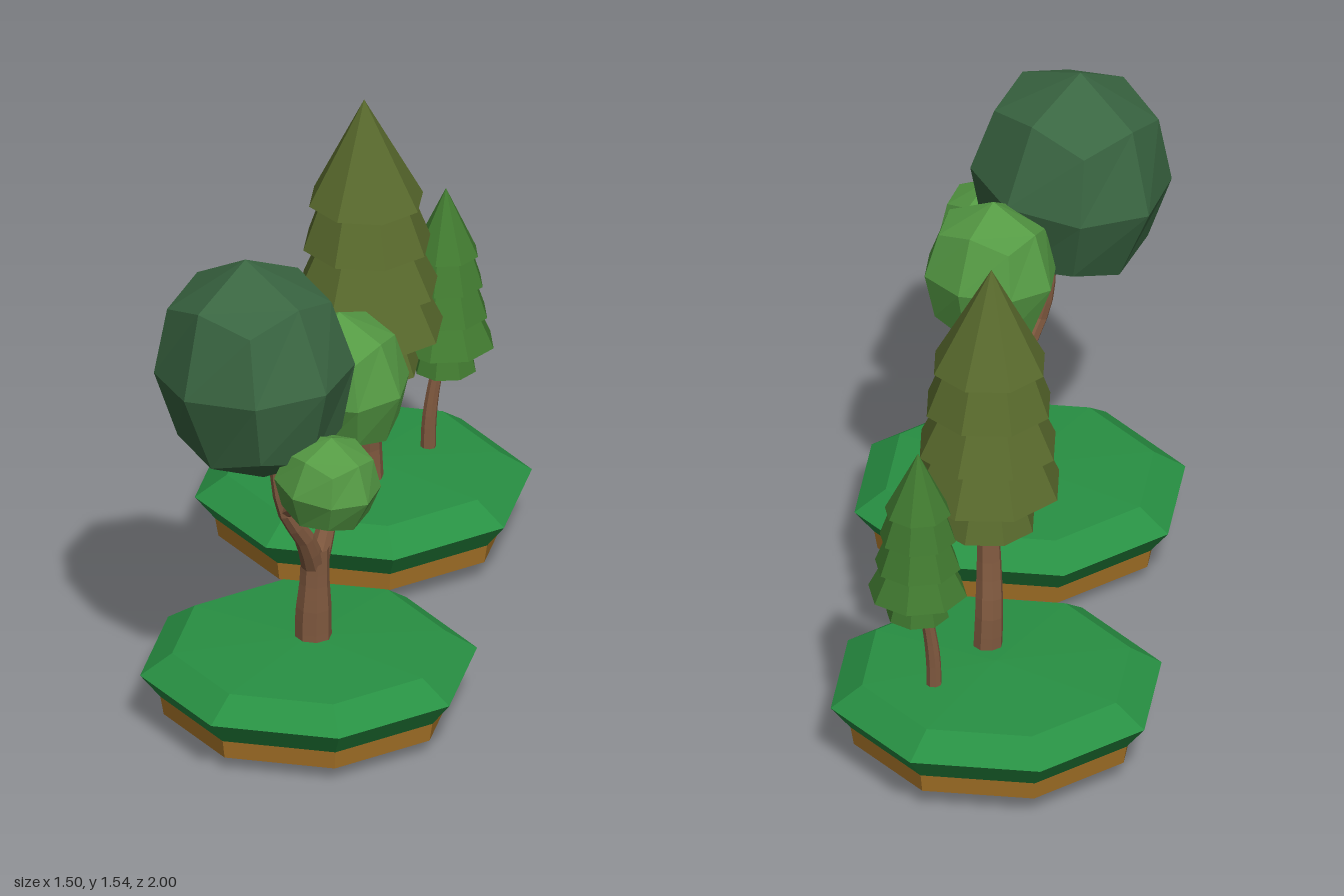
import * as THREE from 'three';
import { mergeVertices } from 'three/addons/utils/BufferGeometryUtils.js';

const paint = (color) => new THREE.MeshStandardMaterial({ color, flatShading: true });
const grassMat = paint(0x289043);
const soilMat = paint(0xa87428);
const barkMat = paint(0x80593f);
const darkLeaf = paint(0x3a6642);
const lightLeaf = paint(0x559a44);
const pineLeaf = paint(0x596a2d);
const youngPineLeaf = paint(0x417a30);

function mesh(name, geometry, material) {
  const m = new THREE.Mesh(geometry, material);
  m.name = name;
  return m;
}

function lathe(profile, sides = 8) {
  return new THREE.LatheGeometry(profile.map(([r, y]) => new THREE.Vector2(r, y)), sides);
}

// Eight-sided floating island: soil below, bevelled grass on top
function island(name, x, y, z) {
  const g = new THREE.Group();
  g.name = name;
  g.add(mesh('soil', lathe([[0, 0], [0.33, 0.016], [0.43, 0.042], [0.44, 0.1]]), soilMat));
  g.add(mesh('grass', lathe([[0.44, 0.1], [0.5, 0.175], [0.405, 0.24], [0, 0.26]]), grassMat));
  g.position.set(x, y, z);
  return g;
}

// Tube along a curve whose thickness follows a list of radii
function limb(name, points, radii, sides = 8, steps = 8) {
  const curve = new THREE.CatmullRomCurve3(points.map((p) => new THREE.Vector3(...p)));
  const geo = new THREE.TubeGeometry(curve, steps, 1, sides);
  const pos = geo.attributes.position;
  const v = new THREE.Vector3();
  for (let i = 0; i < pos.count; i++) {
    const t = Math.floor(i / (sides + 1)) / steps;
    const k = t * (radii.length - 1);
    const a = Math.min(Math.floor(k), radii.length - 2);
    const r = THREE.MathUtils.lerp(radii[a], radii[a + 1], k - a);
    const c = curve.getPointAt(t);
    v.fromBufferAttribute(pos, i).sub(c).multiplyScalar(r).add(c);
    pos.setXYZ(i, v.x, v.y, v.z);
  }
  return mesh(name, geo, barkMat);
}

// Rounded crown: a cube of 2 x 2 quads per face pushed out to a ball
function crown(name, material, centre, size, turn = [0, 0, 0]) {
  let geo = new THREE.BoxGeometry(1, 1, 1, 2, 2, 2);
  geo.deleteAttribute('uv');
  geo.deleteAttribute('normal');
  geo = mergeVertices(geo);
  const pos = geo.attributes.position;
  const v = new THREE.Vector3();
  for (let i = 0; i < pos.count; i++) {
    v.fromBufferAttribute(pos, i).normalize();
    pos.setXYZ(i, v.x, v.y, v.z);
  }
  geo.computeVertexNormals();
  const m = mesh(name, geo, material);
  m.position.set(...centre);
  m.scale.set(...size);
  m.rotation.set(...turn);
  return m;
}

// Tiered conifer foliage; tiers are [bottom y, rim radius, top radius], lowest first
function conifer(name, material, tiers, tip, base, turn) {
  const y0 = tiers[0][0];
  const profile = [[0, y0 + 0.02]];
  tiers.forEach(([y, rim, top], i) => {
    profile.push([rim, y]);
    profile.push([top, i + 1 < tiers.length ? tiers[i + 1][0] + 0.008 : tip[1]]);
  });
  const geo = lathe(profile);
  geo.rotateY(turn);
  // lean the stack from its base towards the tip
  const pos = geo.attributes.position;
  for (let i = 0; i < pos.count; i++) {
    const t = (pos.getY(i) - y0) / (tip[1] - y0);
    pos.setX(i, pos.getX(i) + THREE.MathUtils.lerp(base[0], tip[0], t));
    pos.setZ(i, pos.getZ(i) + THREE.MathUtils.lerp(base[1], tip[2], t));
  }
  return mesh(name, geo, material);
}

function broadleafTree() {
  const g = new THREE.Group();
  g.name = 'broadleafTree';
  g.add(limb('trunk',
    [[0.255, 0.24, 0.483], [0.255, 0.32, 0.483], [0.26, 0.42, 0.485], [0.263, 0.55, 0.485]],
    [0.055, 0.054, 0.044, 0.042]));
  g.add(limb('frontBranch',
    [[0.262, 0.5, 0.495], [0.27, 0.6, 0.545], [0.25, 0.71, 0.612], [0.23, 0.8, 0.622], [0.225, 0.95, 0.63]],
    [0.036, 0.03, 0.026, 0.023, 0.02]));
  g.add(limb('backBranch',
    [[0.26, 0.5, 0.47], [0.26, 0.6, 0.42], [0.255, 0.7, 0.4], [0.245, 0.77, 0.37], [0.24, 0.9, 0.33]],
    [0.036, 0.028, 0.024, 0.022, 0.02]));
  g.add(limb('sideBranch',
    [[0.25, 0.72, 0.61], [0.3, 0.755, 0.63], [0.36, 0.775, 0.655], [0.43, 0.85, 0.69]],
    [0.026, 0.022, 0.019, 0.016]));
  g.add(crown('largeCrown', darkLeaf, [0.177, 1.19, 0.672], [0.305, 0.352, 0.285], [0.03, -0.2, 0.085]));
  g.add(crown('backCrown', lightLeaf, [0.243, 1.02, 0.315], [0.205, 0.232, 0.187], [0.08, 0, 0]));
  g.add(crown('sideCrown', lightLeaf, [0.455, 0.908, 0.698], [0.163, 0.153, 0.15], [0, -0.15, -0.1]));
  return g;
}

function pines() {
  const g = new THREE.Group();
  g.name = 'pines';
  g.add(limb('tallPineTrunk',
    [[-0.178, 0.25, -0.425], [-0.18, 0.38, -0.42], [-0.168, 0.52, -0.4], [-0.155, 0.72, -0.385]],
    [0.044, 0.042, 0.036, 0.031]));
  g.add(conifer('tallPineFoliage', pineLeaf,
    [[0.657, 0.15, 0.105], [0.785, 0.226, 0.16], [0.92, 0.212, 0.143], [1.06, 0.193, 0.137], [1.2, 0.173, 0]],
    [-0.166, 1.525, -0.383], [-0.146, -0.38], 0.1));
  g.add(limb('shortPineTrunk',
    [[-0.148, 0.25, -0.685], [-0.146, 0.35, -0.687], [-0.138, 0.45, -0.697], [-0.125, 0.56, -0.715]],
    [0.023, 0.022, 0.019, 0.017]));
  g.add(conifer('shortPineFoliage', youngPineLeaf,
    [[0.515, 0.094, 0.07], [0.597, 0.148, 0.1], [0.69, 0.128, 0.09], [0.787, 0.114, 0.08], [0.88, 0.099, 0]],
    [-0.135, 1.085, -0.757], [-0.116, -0.726], 0.3));
  return g;
}

export function createModel() {
  const model = new THREE.Group();
  model.name = 'treeIslands';
  model.add(island('frontIsland', 0.25, 0, 0.5));
  model.add(island('backIsland', -0.25, 0.015, -0.5));
  model.add(broadleafTree());
  model.add(pines());
  return model;
}
